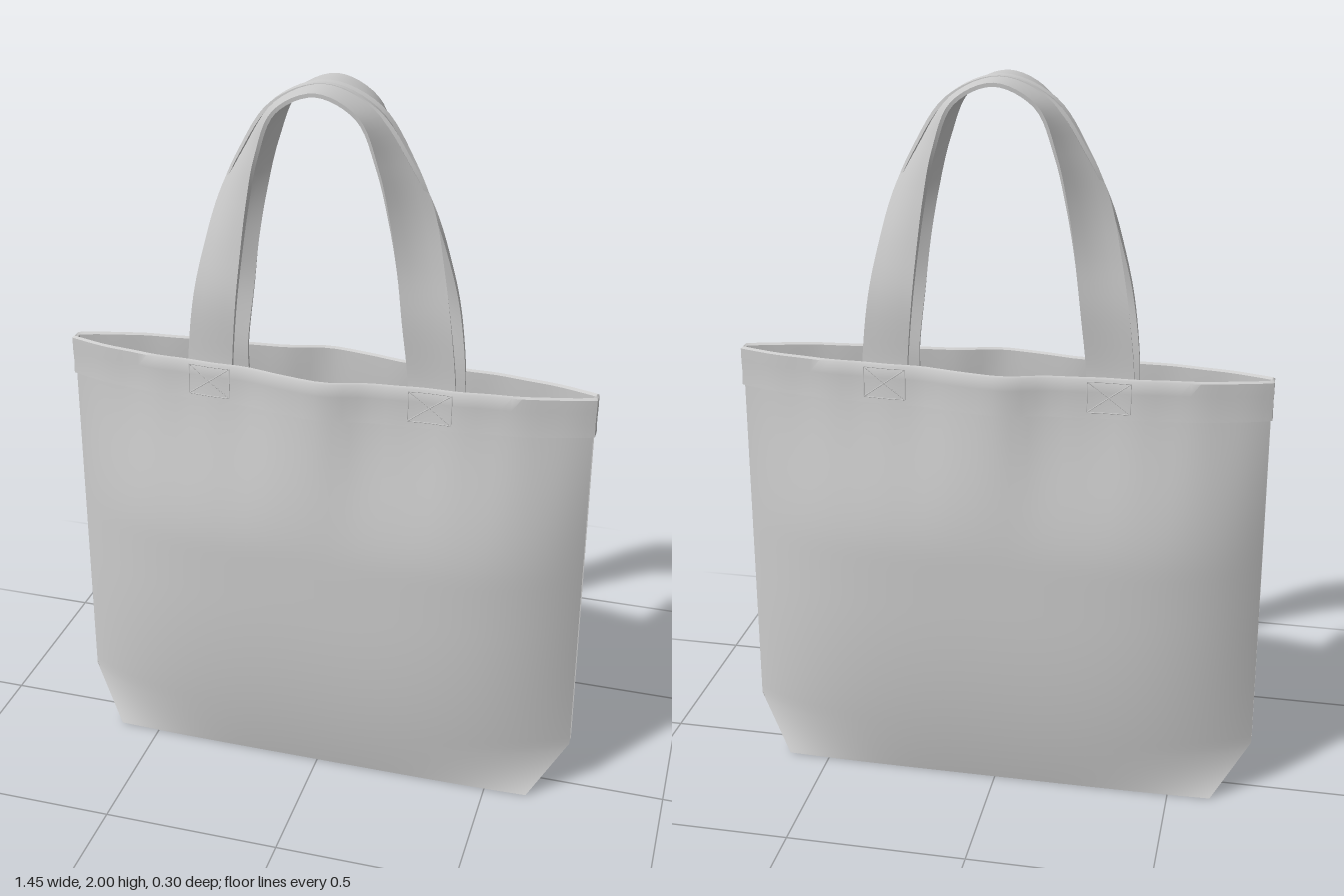
import * as THREE from 'three';
import { toCreasedNormals } from 'three/addons/utils/BufferGeometryUtils.js';

const material = new THREE.MeshStandardMaterial({ color: 0xcccccc, side: THREE.DoubleSide });
const { smoothstep, lerp } = THREE.MathUtils;
const RIM = 1.24, HEM = 1.13, CORNER = 0.15;

// Skin a grid of points: rows of equal length, quads between neighbours.
function skin(rows, crease = 0.8) {
  const n = rows[0].length, index = [];
  for (let i = 0; i < rows.length - 1; i++) {
    for (let j = 0; j < n - 1; j++) {
      const a = i * n + j, b = a + 1, c = b + n, d = a + n;
      index.push(a, b, c, a, c, d);
    }
  }
  const geometry = new THREE.BufferGeometry();
  geometry.setAttribute('position', new THREE.Float32BufferAttribute(rows.flat(2), 3));
  geometry.setIndex(index);
  return toCreasedNormals(geometry, crease);
}

const range = (n, f) => Array.from({ length: n + 1 }, (_, i) => f(i / n));

// Half width of the bag, depth of its side edge, and depth of its front surface.
const halfWidth = y => (y < CORNER ? 0.62 + 0.7 * y : 0.725 - 0.005 * (y - CORNER));
const edgeDepth = y => lerp(0.09, 0.013, Math.min(y / CORNER, 1));
function depth(x, y) {
  const e = edgeDepth(y), u = Math.min(Math.abs(x) / halfWidth(y), 1);
  const fall = 1 - u ** 4;
  const belly = 0.15 - 0.053 * Math.max(0, 1 - y / 0.55) ** 2.2;
  const body = e + (belly - e) * fall;
  const rim = e + 0.065 * fall + 0.038 * Math.exp(-((x / 0.13) ** 2))
    + 0.002 * Math.sin(38 * x) * fall;
  return lerp(body, rim, smoothstep(y, 0.7, RIM));
}

function add(parent, name, geometry) {
  const mesh = new THREE.Mesh(geometry, material);
  mesh.name = name;
  parent.add(mesh);
  return mesh;
}

// Front cloth panel, with a narrow seam fold turned in at each side.
function panelGeometry() {
  return skin(range(44, v => {
    const y = 1.18 * v ** 1.3, w = halfWidth(y), e = edgeDepth(y);
    const across = range(48, t => {
      const x = w * Math.sin((t - 0.5) * Math.PI);
      return [x, y, depth(x, y)];
    });
    const fold = s => [s * (w - 0.03), y, e];
    return [fold(-1), ...across, fold(1)];
  }));
}

// Flat base between the two panels.
function baseGeometry() {
  return skin(range(4, v => range(40, t => {
    const x = 0.62 * Math.sin((t - 0.5) * Math.PI);
    return [x, 0, (2 * v - 1) * depth(x, 0)];
  })));
}

// Triangular boxed corner.
function cornerGeometry() {
  return skin(range(6, v => {
    const y = v * (CORNER + 0.01), e = edgeDepth(y);
    return range(4, t => [halfWidth(y), y, e * (1 - 2 * t)]);
  }));
}

// Folded hem: outside, top edge and inside, running round the whole mouth.
function hemGeometry() {
  const profile = [[HEM, -0.002], [HEM, 0.005], [1.165, 0.004], [1.2, 0.005], [1.235, 0.005],
    [RIM, 0], [1.235, -0.006], [1.18, -0.006], [HEM, -0.006]];
  return skin(profile.map(([y, o]) => {
    const w = halfWidth(y);
    const side = f => range(60, t => {
      const s = Math.sin((t - 0.5) * Math.PI);
      return [f * (w + o) * s, y, f * (depth(w * s, y) + o)];
    });
    const loop = [...side(1), ...side(-1)];
    return [...loop, loop[0]];
  }));
}

// Handle ribbon: two edge curves, lying flat on the bag and twisting over at the top.
function handleGeometry() {
  const tuck = (x, y) => [x, y, depth(x, y) - 0.013];
  const outer = [tuck(0.365, 1.14), tuck(0.365, 1.24), [0.345, 1.42, 0.058], [0.317, 1.56, 0.034],
    [0.282, 1.69, 0.004], [0.225, 1.81, -0.012], [0.135, 1.94, -0.02]];
  const inner = [tuck(0.24, 1.14), tuck(0.24, 1.24), [0.222, 1.42, 0.078], [0.205, 1.56, 0.076],
    [0.184, 1.69, 0.082], [0.155, 1.82, 0.092], [0.105, 1.94, 0.098]];
  const arch = (half, top) => new THREE.CatmullRomCurve3(
    [...half, top, ...half.slice().reverse().map(([x, y, z]) => [-x, y, z])]
      .map(p => new THREE.Vector3(...p)));
  const a = arch(outer, [0, 1.994, -0.02]), b = arch(inner, [0, 1.99, 0.1]);
  const half = 0.005;
  return skin(range(84, t => {
    const p = a.getPoint(t), q = b.getPoint(t);
    const n = a.getTangent(t).add(b.getTangent(t)).cross(q.clone().sub(p))
      .normalize().multiplyScalar(half);
    const faceOut = range(4, k => p.clone().lerp(q, k).add(n).toArray());
    const faceIn = range(4, k => q.clone().lerp(p, k).sub(n).toArray());
    return [...faceOut, ...faceIn, faceOut[0]];
  }));
}

// A raised thread lying on the hem between two points.
function threadGeometry([x0, y0], [x1, y1]) {
  const points = range(8, t => {
    const x = lerp(x0, x1, t), y = lerp(y0, y1, t);
    return new THREE.Vector3(x, y, depth(x, y) + 0.005);
  });
  return new THREE.TubeGeometry(new THREE.CatmullRomCurve3(points), 10, 0.0015, 5);
}

export function createModel() {
  const bag = new THREE.Group();
  bag.name = 'toteBag';
  const panel = panelGeometry(), handle = handleGeometry(), corner = cornerGeometry();

  // Front and back halves are the same, turned half a circle.
  ['front', 'back'].forEach((name, i) => {
    const half = new THREE.Group();
    half.name = name + 'Half';
    half.rotation.y = i * Math.PI;
    bag.add(half);
    add(half, name + 'Panel', panel);
    add(half, name + 'Handle', handle);
    add(half, i ? 'rightCorner' : 'leftCorner', corner);

    // Crossed square of stitching where each handle end is sewn on.
    const stitching = new THREE.Group();
    stitching.name = name + 'Stitching';
    half.add(stitching);
    for (const s of [-1, 1]) {
      const c = [[0.245, 1.145], [0.36, 1.145], [0.36, 1.228], [0.245, 1.228]].map(([x, y]) => [s * x, y]);
      for (const [j, k] of [[0, 1], [1, 2], [2, 3], [3, 0], [0, 2], [1, 3]]) {
        add(stitching, 'stitch', threadGeometry(c[j], c[k]));
      }
    }
  });

  add(bag, 'base', baseGeometry());
  add(bag, 'hem', hemGeometry());
  return bag;
}
